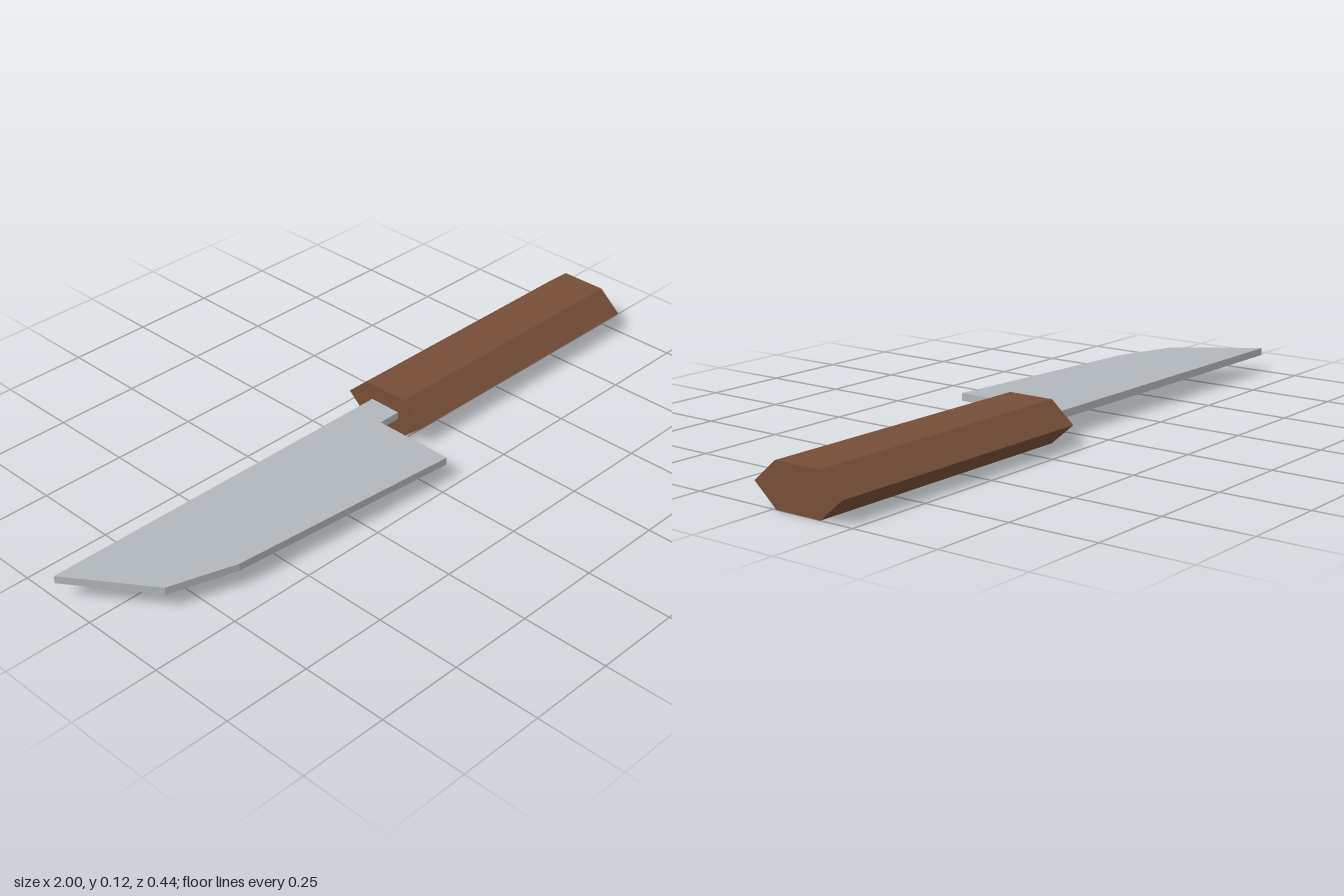
import * as THREE from 'three';

// Extrudes a closed outline of [x, y] points without bevel
function prism(points, depth) {
  const shape = new THREE.Shape(points.map(([x, y]) => new THREE.Vector2(x, y)));
  return new THREE.ExtrudeGeometry(shape, { depth, bevelEnabled: false });
}

export function createModel() {
  const steel = new THREE.MeshStandardMaterial({ color: 0xb0b6b9 });
  steel.name = 'steel';
  const wood = new THREE.MeshStandardMaterial({ color: 0x754d36 });
  wood.name = 'wood';

  const group = new THREE.Group();
  group.name = 'knife';

  // Flat blade with its short neck, outline in x and -z
  const bladeGeometry = prism([
    [-1, 0.13], [-0.84, -0.1], [-0.65, -0.16], [0.05, -0.217],
    [0.05, 0.03], [0.12, 0.03], [0.12, 0.13],
  ], 0.022);
  bladeGeometry.rotateX(-Math.PI / 2);
  const blade = new THREE.Mesh(bladeGeometry, steel);
  blade.name = 'blade';
  blade.position.y = 0.05;
  group.add(blade);

  // Six-sided handle, outline in -z and y
  const handleGeometry = prism([
    [-0.06, 0.06], [0.01, 0], [0.15, 0], [0.22, 0.06], [0.15, 0.12], [0.01, 0.12],
  ], 0.88);
  handleGeometry.rotateY(Math.PI / 2);
  const handle = new THREE.Mesh(handleGeometry, wood);
  handle.name = 'handle';
  handle.position.x = 0.12;
  group.add(handle);

  return group;
}
